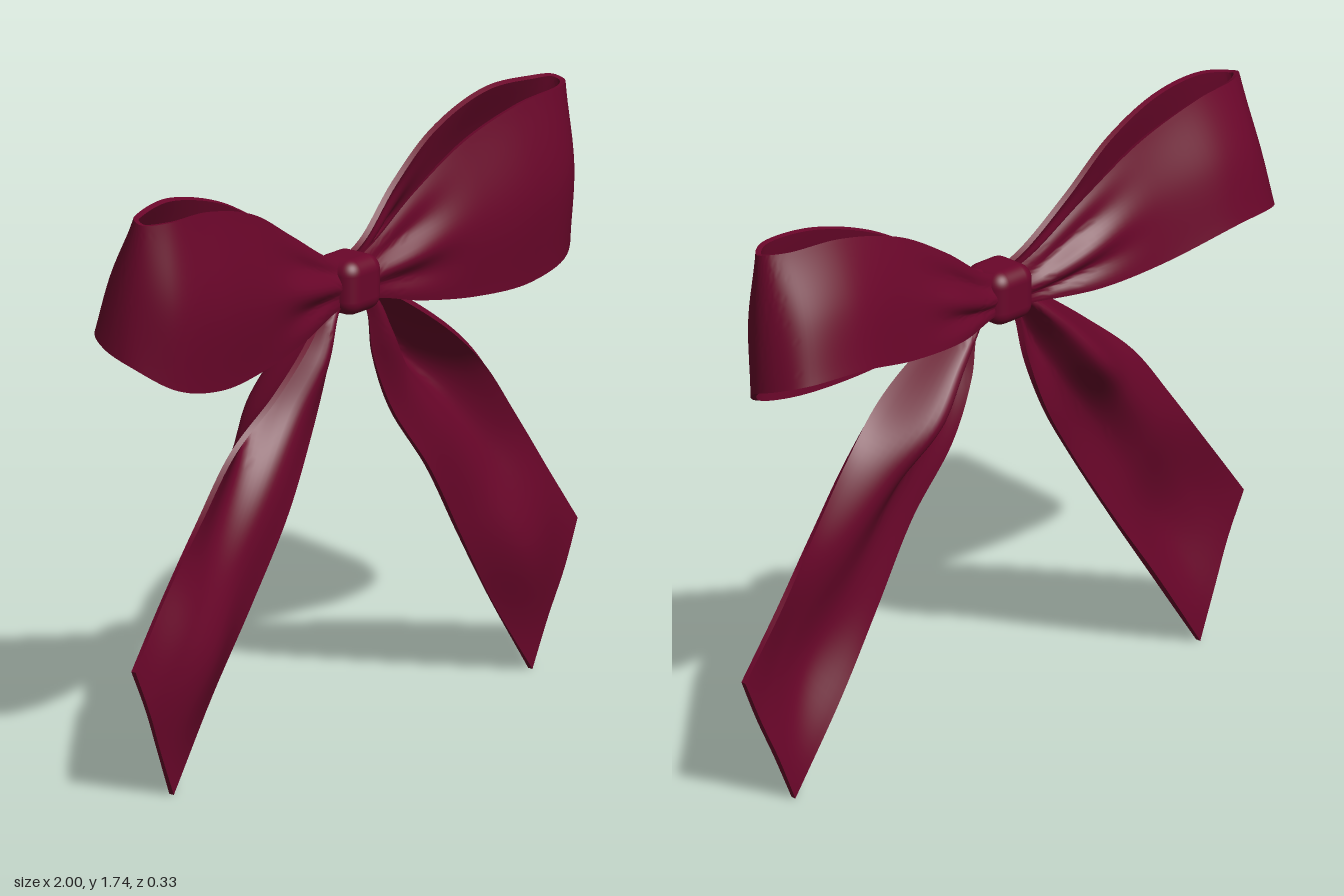
import * as THREE from 'three';
import { toCreasedNormals } from 'three/addons/utils/BufferGeometryUtils.js';
import { RoundedBoxGeometry } from 'three/addons/geometries/RoundedBoxGeometry.js';

const satin = new THREE.MeshStandardMaterial({ color: 0x6a062a });
satin.name = 'burgundy satin';

const spline = (points) => new THREE.CatmullRomCurve3(points);

// Cloth surface: u runs along the rails, s runs smoothly across them
function clothSurface(...rails) {
  const curves = rails.map((r) => spline(r.map((p) => new THREE.Vector3(...p))));
  return (u, s) => spline(curves.map((c) => c.getPoint(u))).getPoint(s);
}

// Thin solid ribbon following a surface; side = -1 mirrors it in x.
function ribbon(surface, nu, ns, side) {
  const half = 0.008, e = 1e-3, pos = [], idx = [];
  const ring = 2 * (ns + 1);
  for (let i = 0; i <= nu; i++) {
    const u = i / nu, front = [], back = [];
    for (let j = 0; j <= ns; j++) {
      const s = j / ns;
      const du = surface(Math.min(1, u + e), s).sub(surface(Math.max(0, u - e), s));
      const ds = surface(u, Math.min(1, s + e)).sub(surface(u, Math.max(0, s - e)));
      const n = du.cross(ds).normalize();
      const p = surface(u, s);
      front.push(p.clone().addScaledVector(n, half));
      back.unshift(p.addScaledVector(n, -half));
    }
    for (const p of [...front, ...back]) pos.push(p.x * side, p.y, p.z);
  }
  const quad = (a, b, c, d) => {
    if (side > 0) idx.push(a, b, c, a, c, d);
    else idx.push(a, c, b, a, d, c);
  };
  for (let i = 0; i < nu; i++) {
    for (let k = 0; k < ring; k++) {
      const l = (k + 1) % ring;
      quad(i * ring + k, (i + 1) * ring + k, (i + 1) * ring + l, i * ring + l);
    }
  }
  // Cut ends
  const end = nu * ring;
  for (let j = 0; j < ns; j++) {
    const d = ring - 1 - j;
    quad(j, j + 1, d - 1, d);
    quad(end + d, end + d - 1, end + j + 1, end + j);
  }
  const geo = new THREE.BufferGeometry();
  geo.setAttribute('position', new THREE.Float32BufferAttribute(pos, 3));
  geo.setIndex(idx);
  return toCreasedNormals(geo, 0.9);
}

// Loop: out along the front, round the outer bend, home along the back
// (upper edge, middle, lower edge)
const smoothLoop = clothSurface(
  [[0, 1.39, 0.05], [0.11, 1.435, 0.05], [0.28, 1.54, 0.055], [0.48, 1.655, 0.08], [0.7, 1.72, 0.105],
    [0.88, 1.73, 0.105], [0.943, 1.728, 0.06], [0.938, 1.735, 0.03], [0.885, 1.735, 0], [0.72, 1.735, -0.03],
    [0.48, 1.67, -0.03], [0.28, 1.555, -0.015], [0.11, 1.435, 0.01], [0, 1.39, 0.02]],
  [[0, 1.34, 0.07], [0.1, 1.35, 0.075], [0.28, 1.38, 0.1], [0.5, 1.42, 0.135], [0.72, 1.46, 0.157],
    [0.895, 1.49, 0.135], [0.962, 1.525, 0.05], [0.958, 1.54, -0.015], [0.905, 1.55, -0.08], [0.74, 1.56, -0.115],
    [0.5, 1.5, -0.088], [0.28, 1.42, -0.06], [0.1, 1.35, -0.015], [0, 1.34, 0]],
  [[0, 1.28, 0.06], [0.1, 1.275, 0.07], [0.26, 1.235, 0.095], [0.48, 1.2, 0.12], [0.7, 1.195, 0.14],
    [0.88, 1.235, 0.125], [0.974, 1.31, 0.04], [0.975, 1.345, -0.05], [0.925, 1.37, -0.125], [0.75, 1.375, -0.158],
    [0.5, 1.32, -0.115], [0.28, 1.3, -0.083], [0.1, 1.295, -0.015], [0, 1.3, 0.01]]
);

// Soft pleats gathered beside the knot, outward on both faces
function loopSurface(u, s) {
  const p = smoothLoop(u, s);
  const fade = Math.exp(-(((p.x - 0.23) / 0.14) ** 2));
  p.z += 0.018 * fade * Math.cos(Math.PI * u) * Math.sin(Math.PI * s) * Math.cos(4 * Math.PI * s);
  return p;
}

// Tail: folded at the knot, flattening towards a slanted cut
// (outer edge, valley, ridge, inner edge)
const tailSurface = clothSurface(
  [[0.03, 1.36, 0.04], [0.11, 1.31, 0.06], [0.26, 1.21, 0.1], [0.41, 1.1, 0.11], [0.57, 0.965, 0.085],
    [0.71, 0.79, 0.075], [0.855, 0.6, 0.065], [0.998, 0.41, 0.068]],
  [[0.03, 1.34, 0.045], [0.1, 1.285, 0.015], [0.21, 1.18, -0.02], [0.33, 1.04, -0.045], [0.47, 0.89, 0.01],
    [0.63, 0.71, 0.05], [0.785, 0.485, 0.1], [0.935, 0.275, 0.07]],
  [[0.03, 1.32, 0.05], [0.09, 1.27, 0.07], [0.15, 1.15, 0.08], [0.25, 1, 0.06], [0.4, 0.81, 0.075],
    [0.55, 0.6, 0.08], [0.71, 0.37, 0.112], [0.872, 0.14, 0.06]],
  [[0.03, 1.29, 0.04], [0.075, 1.24, 0.05], [0.108, 1.1, 0.045], [0.185, 0.92, 0.05], [0.32, 0.72, 0.075],
    [0.47, 0.49, 0.065], [0.63, 0.255, 0.05], [0.81, 0, 0.055]]
);

export function createModel() {
  const bow = new THREE.Group();
  bow.name = 'ribbonBow';
  const add = (geo, name) => {
    const mesh = new THREE.Mesh(geo, satin);
    mesh.name = name;
    bow.add(mesh);
    return mesh;
  };

  for (const [side, label] of [[1, 'left'], [-1, 'right']]) {
    add(ribbon(loopSurface, 110, 28, side), label + 'Loop');
    add(ribbon(tailSurface, 60, 28, side), label + 'Tail');
  }

  // Knot wrapped round the middle
  const knot = add(new RoundedBoxGeometry(0.156, 0.165, 0.16, 6, 0.045), 'knot');
  knot.position.set(0, 1.338, 0.042);
  return bow;
}
